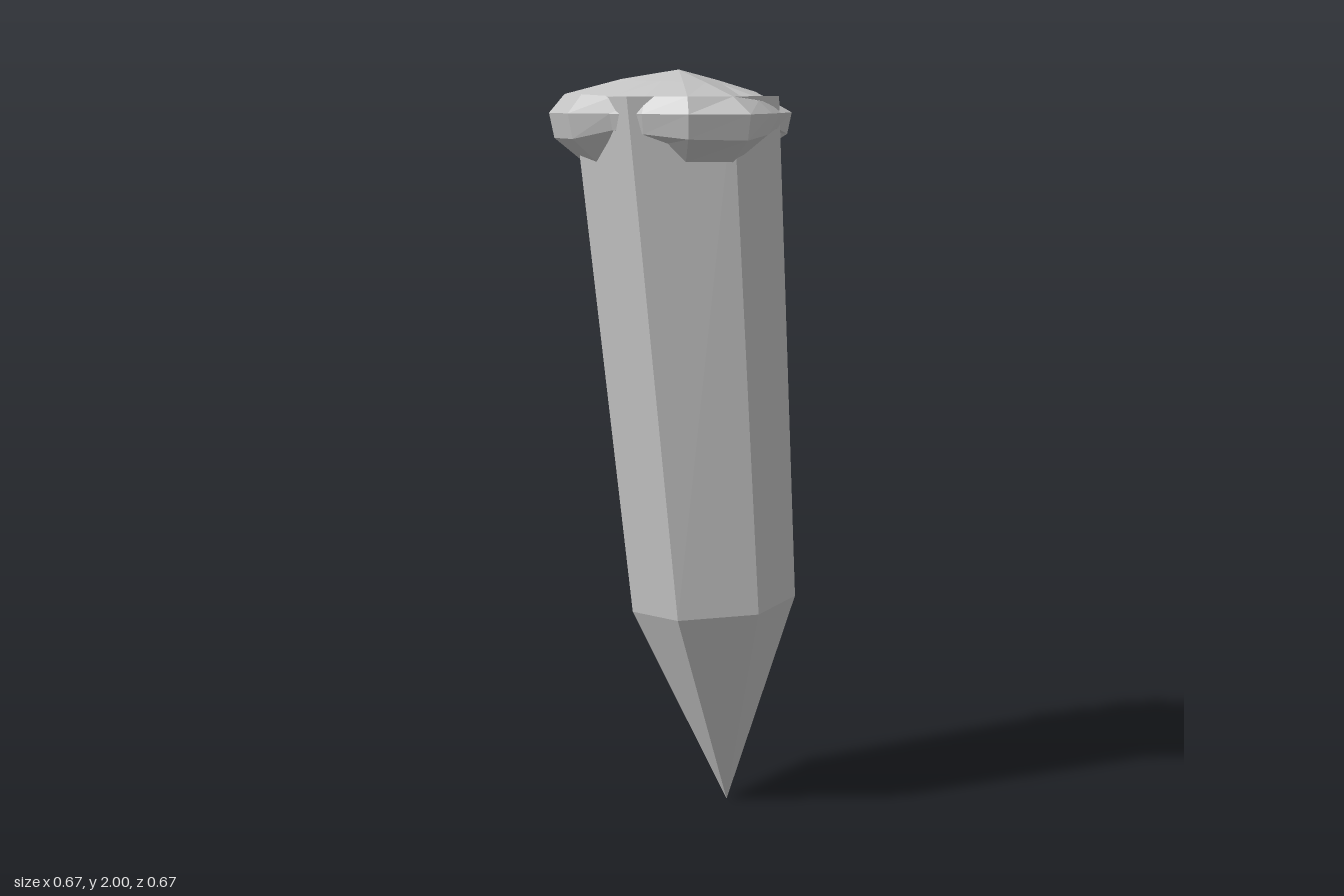
import * as THREE from 'three';

const iron = new THREE.MeshStandardMaterial({ color: 0xc3c3c3, flatShading: true });
iron.name = 'grey iron';

// Faceted skin over rings listed top to bottom; a ring with one point closes to a tip.
function loft(name, rings) {
  const pos = [];
  const tri = (a, b, c) => {
    if (a !== b && b !== c && c !== a) pos.push(...a, ...b, ...c);
  };
  for (let k = 0; k < rings.length - 1; k++) {
    const up = rings[k], low = rings[k + 1];
    const n = Math.max(up.length, low.length);
    for (let i = 0; i < n; i++) {
      const j = (i + 1) % n;
      const u0 = up[i % up.length], u1 = up[j % up.length];
      const l0 = low[i % low.length], l1 = low[j % low.length];
      tri(l0, l1, u1);
      tri(l0, u1, u0);
    }
  }
  const geo = new THREE.BufferGeometry();
  geo.setAttribute('position', new THREE.Float32BufferAttribute(pos, 3));
  geo.computeVertexNormals();
  const mesh = new THREE.Mesh(geo, iron);
  mesh.name = name;
  return mesh;
}

// Leaning six-sided shaft with a flat top and a pointed end
function buildShaft() {
  const top = [[-0.115, 1.93, 0.25], [0.145, 1.93, 0.17], [0.207, 1.93, -0.1],
    [0.005, 1.93, -0.29], [-0.255, 1.93, -0.21], [-0.315, 1.93, 0.06]];
  const shoulder = [[-0.05, 0.56, 0.285], [0.165, 0.57, 0.22], [0.207, 0.555, 0],
    [0.05, 0.535, -0.15], [-0.165, 0.53, -0.08], [-0.21, 0.545, 0.14]];
  return loft('shaft', [[[-0.055, 1.93, -0.02]], top, shoulder, [[0.02, 0, 0.1]]]);
}

// Hammered, mushroomed head: 14 uneven segments around an off-centre peak
function buildHead() {
  const cx = -0.05, cz = -0.015, squash = 0.935;
  const ring = (radii, heights) => radii.map((r, i) => {
    const a = (i / radii.length) * Math.PI * 2;
    return [cx + r * Math.cos(a), heights[i], cz - squash * r * Math.sin(a)];
  });
  const inner = [0.15, 0.145, 0.12, 0.12, 0.13, 0.16, 0.14, 0.12, 0.12, 0.15, 0.145, 0.2, 0.17, 0.13];
  const innerY = [1.972, 1.978, 1.975, 1.972, 1.976, 1.975, 1.972, 1.97, 1.97, 1.968, 1.966, 1.932, 1.931, 1.96];
  const crown = [0.3, 0.288, 0.245, 0.245, 0.26, 0.32, 0.277, 0.24, 0.245, 0.297, 0.29, 0.262, 0.25, 0.24];
  const crownY = [1.94, 1.94, 1.935, 1.93, 1.94, 1.935, 1.935, 1.93, 1.93, 1.93, 1.93, 1.918, 1.915, 1.93];
  const rim = [0.385, 0.372, 0.313, 0.265, 0.35, 0.364, 0.316, 0.255, 0.272, 0.337, 0.38, 0.305, 0.285, 0.333];
  const droop = [1.75, 1.77, 1.79, 1.85, 1.8, 1.75, 1.75, 1.83, 1.8, 1.76, 1.75, 1.79, 1.84, 1.78];

  return loft('head', [
    [[cx, 2, cz]],
    ring(inner, innerY),
    ring(crown, crownY),
    ring(rim, rim.map(() => 1.885)),
    ring(rim.map(r => r * 0.96), droop.map(y => 1.83 + (y - 1.79) * 0.3)),
    ring(rim.map(r => r * 0.72), droop),
    ring(rim.map(r => r * 0.45), droop.map(y => y + 0.02)),
    [[cx, 1.85, cz]],
  ]);
}

export function createModel() {
  const group = new THREE.Group();
  group.name = 'spike';
  group.add(buildShaft(), buildHead());
  return group;
}
